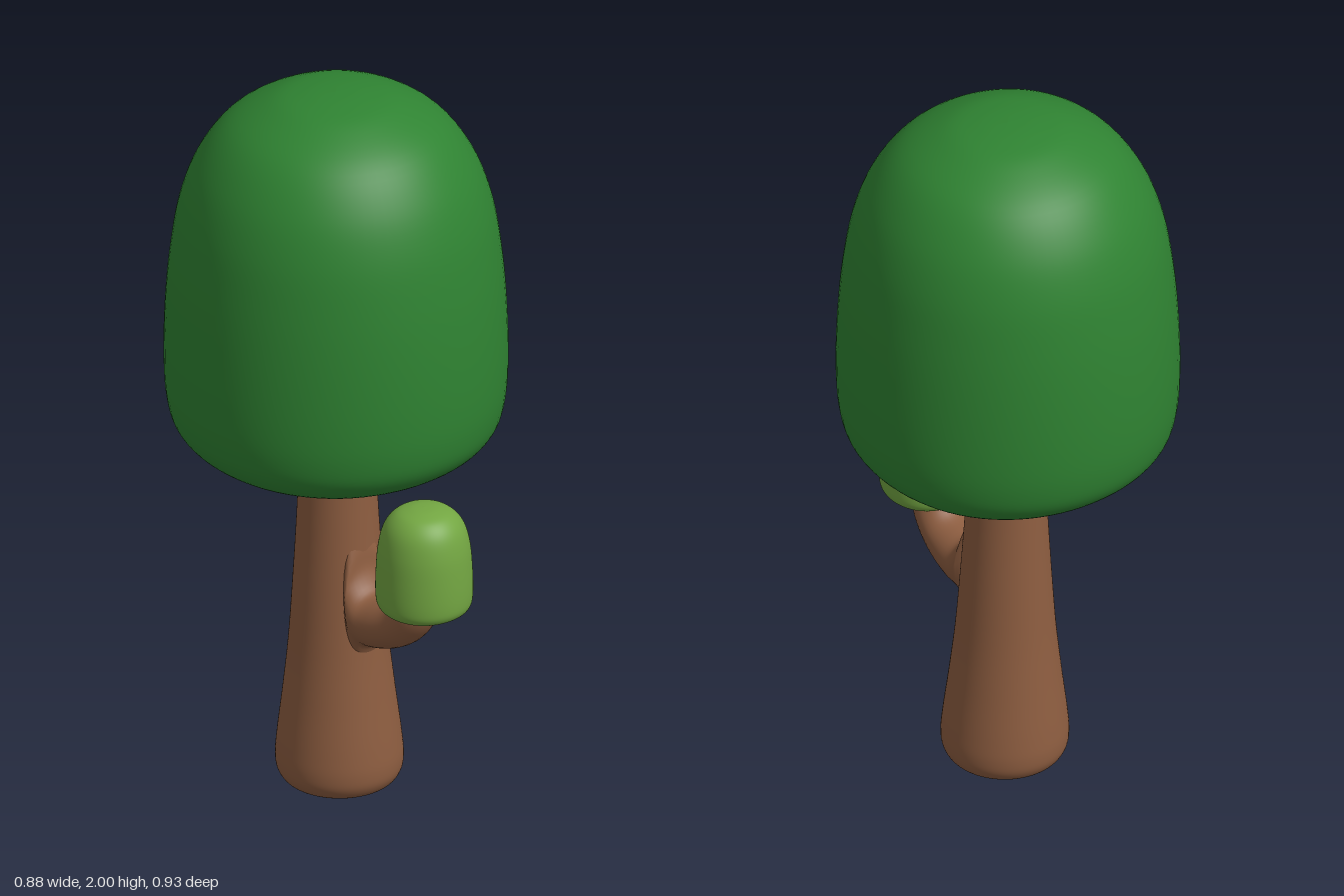
import * as THREE from 'three';

// Smooth turned solid: points [radius, y] from bottom to top, splined.
// square widens the diagonals slightly, so the plan is a softened square.
function turned(name, points, color, square = 0) {
  const curve = new THREE.SplineCurve(points.map(([r, y]) => new THREE.Vector2(r, y)));
  const profile = curve.getPoints(72);
  profile.forEach((p) => { p.x = Math.max(p.x, 0); });
  const geometry = new THREE.LatheGeometry(profile, 80);
  const pos = geometry.attributes.position;
  for (let i = 0; i < pos.count; i++) {
    const x = pos.getX(i);
    const z = pos.getZ(i);
    const k = 1 + square * Math.sin(2 * Math.atan2(z, x)) ** 2;
    pos.setXYZ(i, x * k, pos.getY(i), z * k);
  }
  const mesh = new THREE.Mesh(geometry, new THREE.MeshStandardMaterial({ color }));
  mesh.name = name;
  return mesh;
}

// Limb in the x = 0 plane, from stations [lower z, lower y, upper z, upper y, half width]
function limb(name, stations, color, rings = 40, sides = 32) {
  const spline = (f) => new THREE.CatmullRomCurve3(stations.map(f));
  const lower = spline(([z, y]) => new THREE.Vector3(0, y, z));
  const upper = spline(([, , z, y]) => new THREE.Vector3(0, y, z));
  const width = spline(([, , , , w], i) => new THREE.Vector3(w, i, 0));
  const positions = [];
  const index = [];
  for (let i = 0; i <= rings; i++) {
    const t = i / rings;
    const low = lower.getPoint(t);
    const high = upper.getPoint(t);
    const w = width.getPoint(t).x;
    for (let j = 0; j < sides; j++) {
      const a = (j / sides) * Math.PI * 2;
      const p = low.clone().lerp(high, 0.5 + 0.5 * Math.sin(a));
      positions.push(Math.cos(a) * w, p.y, p.z);
      if (i === rings) continue;
      const m = i * sides + j;
      const n = i * sides + ((j + 1) % sides);
      index.push(m, n, m + sides, n, n + sides, m + sides);
    }
  }
  const geometry = new THREE.BufferGeometry();
  geometry.setAttribute('position', new THREE.Float32BufferAttribute(positions, 3));
  geometry.setIndex(index);
  geometry.computeVertexNormals();
  const mesh = new THREE.Mesh(geometry, new THREE.MeshStandardMaterial({ color }));
  mesh.name = name;
  return mesh;
}

export function createModel() {
  const tree = new THREE.Group();
  tree.name = 'tree';
  const bark = 0x8d5d40;

  // Trunk, flared at the foot and leaning slightly back
  const trunk = turned('trunk', [
    [0, 0], [0.08, 0.005], [0.135, 0.018], [0.16, 0.045], [0.167, 0.085], [0.162, 0.15],
    [0.146, 0.28], [0.131, 0.42], [0.118, 0.6], [0.107, 0.78], [0.1, 0.94], [0.097, 1.1],
  ], bark);
  const pos = trunk.geometry.attributes.position;
  for (let i = 0; i < pos.count; i++) {
    pos.setZ(i, pos.getZ(i) - 0.01 - 0.01 * Math.min(pos.getY(i), 1));
  }

  // Side branch, spreading where it joins the trunk and curving up
  const branch = limb('branch', [
    [0.09, 0.36, 0.07, 0.8, 0.06], [0.113, 0.42, 0.092, 0.72, 0.075],
    [0.13, 0.45, 0.105, 0.655, 0.08], [0.165, 0.462, 0.14, 0.61, 0.078],
    [0.22, 0.48, 0.185, 0.61, 0.075], [0.29, 0.52, 0.225, 0.622, 0.07],
    [0.345, 0.58, 0.25, 0.645, 0.065], [0.37, 0.645, 0.262, 0.675, 0.058],
    [0.375, 0.72, 0.27, 0.72, 0.052],
  ], bark);

  // Large domed crown
  const crown = turned('crown', [
    [0, 0.955], [0.13, 0.957], [0.26, 0.97], [0.355, 0.998], [0.411, 1.05], [0.434, 1.125],
    [0.441, 1.24], [0.437, 1.4], [0.424, 1.55], [0.4, 1.69], [0.355, 1.81],
    [0.28, 1.91], [0.17, 1.974], [0.08, 1.995], [0, 2],
  ], 0x2f8332, 0.015);
  crown.position.z = -0.025;

  // Small leaf cluster on the branch
  const cluster = turned('leafCluster', [
    [0, 0.632], [0.06, 0.634], [0.1, 0.642], [0.119, 0.658], [0.125, 0.69], [0.124, 0.76],
    [0.118, 0.83], [0.103, 0.885], [0.075, 0.919], [0.037, 0.933], [0, 0.936],
  ], 0x73a642, 0.015);
  cluster.position.z = 0.34;

  tree.add(trunk, branch, crown, cluster);
  return tree;
}
